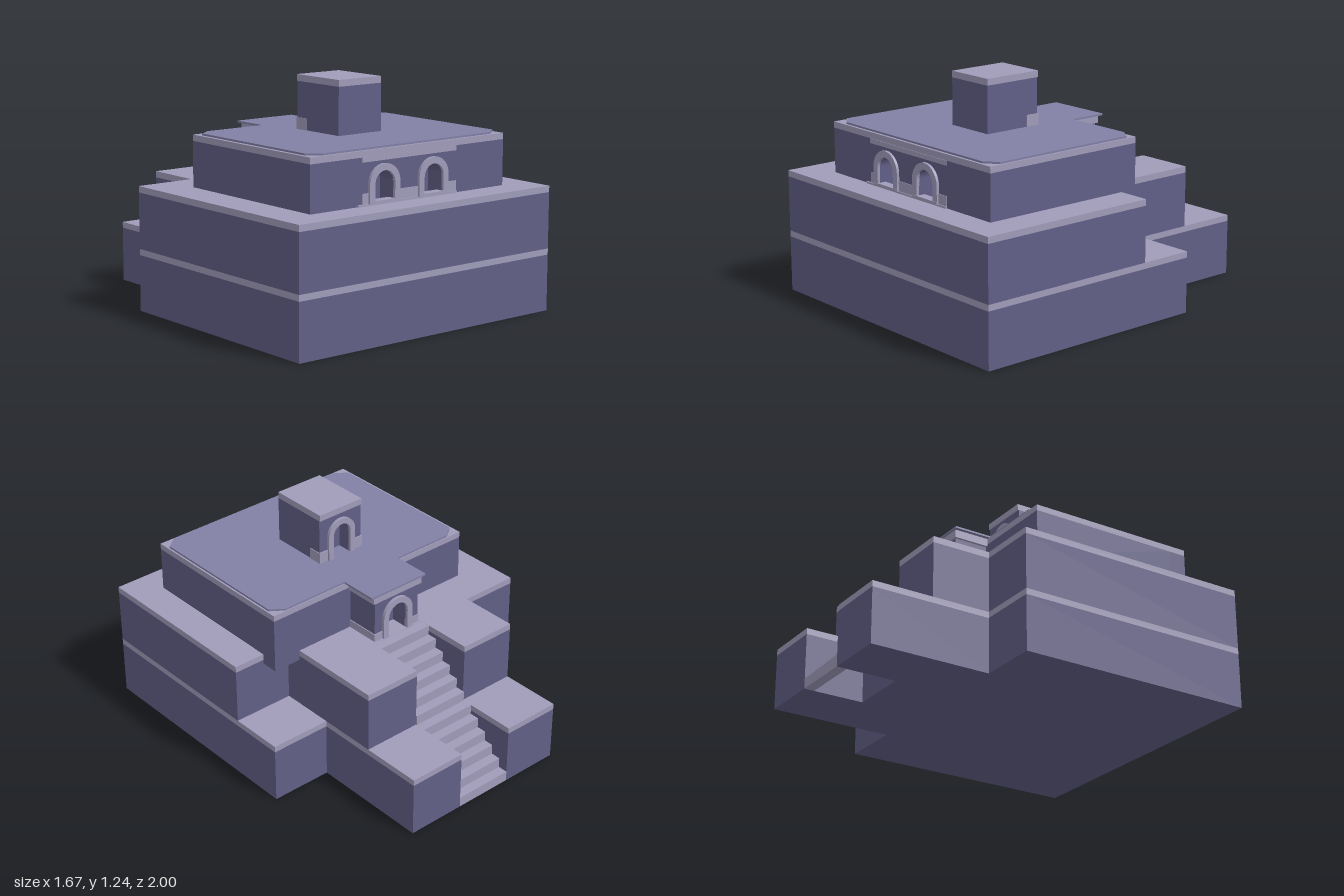
import * as THREE from 'three';

const WALL = new THREE.MeshStandardMaterial({ color: 0x625f87, flatShading: true });
const TRIM = new THREE.MeshStandardMaterial({ color: 0xa09cba, flatShading: true });
const ROOF = new THREE.MeshStandardMaterial({ color: 0x827fa5, flatShading: true });

function add(parent, name, geometry, material) {
  const mesh = new THREE.Mesh(geometry, material);
  mesh.name = name;
  parent.add(mesh);
  return mesh;
}

// Box given by its two extreme corners
function block(parent, name, material, [x0, x1], [y0, y1], [z0, z1]) {
  const mesh = add(parent, name, new THREE.BoxGeometry(x1 - x0, y1 - y0, z1 - z0), material);
  mesh.position.set((x0 + x1) / 2, (y0 + y1) / 2, (z0 + z1) / 2);
}

// Upright prism over a ground outline of [x, z] points
function prism(parent, name, material, outline, y0, y1) {
  const shape = new THREE.Shape(outline.map(([x, z]) => new THREE.Vector2(x, -z)));
  const geometry = new THREE.ExtrudeGeometry(shape, { depth: y1 - y0, bevelEnabled: false });
  geometry.rotateX(-Math.PI / 2).translate(0, y0, 0);
  add(parent, name, geometry, material);
}

// Plate in the xy plane between z0 and z1
function plate(parent, name, material, shape, z0, z1) {
  const geometry = new THREE.ExtrudeGeometry(shape, { depth: z1 - z0, bevelEnabled: false, curveSegments: 12 });
  add(parent, name, geometry.translate(0, 0, z0), material);
}

// Wall panel with round-headed doorways cut up from its foot
function archedWall([x0, x1], [y0, y1], centres, r, spring) {
  const s = new THREE.Shape();
  s.moveTo(x0, y0);
  for (const c of centres) {
    s.lineTo(c - r, y0);
    s.lineTo(c - r, spring);
    s.absarc(c, spring, r, Math.PI, 0, true);
    s.lineTo(c + r, y0);
  }
  s.lineTo(x1, y0);
  s.lineTo(x1, y1);
  s.lineTo(x0, y1);
  return s;
}

// Raised surround of a doorway
function archFrame(c, y0, spring, outer, inner) {
  const s = new THREE.Shape();
  s.moveTo(c - outer, y0);
  s.lineTo(c - outer, spring);
  s.absarc(c, spring, outer, Math.PI, 0, true);
  s.lineTo(c + outer, y0);
  s.lineTo(c + inner, y0);
  s.lineTo(c + inner, spring);
  s.absarc(c, spring, inner, 0, Math.PI, false);
  s.lineTo(c - inner, y0);
  return s;
}

// Flight of six steps climbing towards +z, with a sloping underside
function stairs(parent, name, y0, z0) {
  const n = 6, d = 0.333 / n;
  const s = new THREE.Shape();
  s.moveTo(-z0, y0);
  for (let i = 0; i < n; i++) {
    s.lineTo(-(z0 + i * d), y0 + (i + 1) * d);
    s.lineTo(-(z0 + (i + 1) * d), y0 + (i + 1) * d);
  }
  s.lineTo(-(z0 + n * d), y0 + (n - 1) * d);
  s.lineTo(-(z0 + d), y0);
  const geometry = new THREE.ExtrudeGeometry(s, { depth: 0.335, bevelEnabled: false });
  geometry.rotateY(Math.PI / 2).translate(-0.17, 0, 0);
  add(parent, name, geometry, TRIM);
}

export function createModel() {
  const model = new THREE.Group();
  model.name = 'terracedHouse';

  // Two terraces, each notched for its flight of stairs
  const terrace = (sideZ, backZ, slotZ) => [
    [-0.835, 1], [0.835, 1], [0.835, sideZ], [0.493, sideZ], [0.493, backZ], [0.165, backZ],
    [0.165, slotZ], [-0.17, slotZ], [-0.17, backZ], [-0.502, backZ], [-0.502, -0.333], [-0.835, -0.333],
  ];
  const lower = terrace(-0.333, -1, -0.667);
  const upper = terrace(-0.03, -0.66, -0.333);
  prism(model, 'lowerTerrace', WALL, lower, 0, 0.3);
  prism(model, 'lowerTerraceEdge', TRIM, lower, 0.3, 0.333);
  prism(model, 'upperTerrace', WALL, upper, 0.333, 0.633);
  prism(model, 'upperTerraceEdge', TRIM, upper, 0.633, 0.667);
  stairs(model, 'lowerStairs', 0, -1);
  stairs(model, 'upperStairs', 0.333, -0.667);

  // Main storey, one corner overhanging the terrace recess
  const house = new THREE.Group();
  house.name = 'mainStorey';
  model.add(house);
  const X = [-0.635, 0.655];
  block(house, 'storeyBody', WALL, X, [0.667, 0.91], [-0.125, 0.735]);
  block(house, 'overhang', WALL, [0.493, 0.655], [0.61, 0.667], [-0.125, -0.03]);
  block(house, 'cornice', TRIM, X, [0.91, 0.943], [-0.125, 0.835]);
  const windows = [-0.17, 0.157];
  plate(house, 'frontWall', WALL, archedWall(X, [0.667, 0.91], windows, 0.065, 0.77), 0.735, 0.835);
  for (const c of windows) {
    plate(house, 'windowFrame', TRIM, archFrame(c, 0.685, 0.77, 0.1, 0.065), 0.83, 0.85);
    block(house, 'windowSill', TRIM, [c - 0.1, c + 0.1], [0.675, 0.688], [0.8, 0.852]);
  }
  for (const span of [[-0.31, -0.27], [-0.07, 0.057], [0.257, 0.32]])
    block(house, 'frontPlinth', TRIM, span, [0.667, 0.73], [0.82, 0.839]);
  block(house, 'frontFooting', TRIM, [-0.34, 0.32], [0.667, 0.677], [0.82, 0.845]);
  block(house, 'frontLintel', TRIM, [-0.31, 0.32], [0.885, 0.91], [0.82, 0.838]);

  // Porch at the head of the stairs
  const porch = new THREE.Group();
  porch.name = 'porch';
  model.add(porch);
  const PX = [-0.155, 0.145];
  block(porch, 'porchBody', WALL, PX, [0.667, 0.9], [-0.22, -0.125]);
  plate(porch, 'porchWall', WALL, archedWall(PX, [0.667, 0.9], [-0.005], 0.065, 0.78), -0.315, -0.22);
  plate(porch, 'doorFrame', TRIM, archFrame(-0.005, 0.667, 0.78, 0.1, 0.065), -0.332, -0.31);
  block(porch, 'porchCornice', TRIM, [-0.17, 0.16], [0.9, 0.943], [-0.325, -0.125]);
  for (const [a, b] of [[-0.16, -0.105], [0.095, 0.15]])
    block(porch, 'porchPlinth', TRIM, [a, b], [0.667, 0.71], [-0.32, -0.125]);

  // Thin roof with clipped corners and a tongue over the porch
  prism(model, 'roof', ROOF, [
    [-0.545, 0.82], [0.575, 0.82], [0.645, 0.765], [0.645, -0.07], [0.575, -0.12], [0.182, -0.12],
    [0.182, -0.335], [-0.19, -0.335], [-0.19, -0.12], [-0.545, -0.12], [-0.615, -0.07], [-0.615, 0.765],
  ], 0.943, 0.953);

  // Roof hut with its door facing the stairs
  const hut = new THREE.Group();
  hut.name = 'roofHut';
  model.add(hut);
  const HX = [-0.128, 0.157];
  block(hut, 'hutBody', WALL, HX, [0.953, 1.205], [0.18, 0.44]);
  block(hut, 'hutCap', TRIM, HX, [1.205, 1.24], [0.1, 0.44]);
  plate(hut, 'hutDoorWall', WALL, archedWall(HX, [0.953, 1.205], [0.015], 0.058, 1.085), 0.107, 0.18);
  plate(hut, 'hutDoorFrame', TRIM, archFrame(0.015, 0.953, 1.085, 0.09, 0.058), 0.09, 0.11);
  for (const [a, b] of [[-0.132, -0.075], [0.105, 0.161]])
    block(hut, 'hutPlinth', TRIM, [a, b], [0.953, 1.015], [0.1, 0.18]);

  return model;
}
